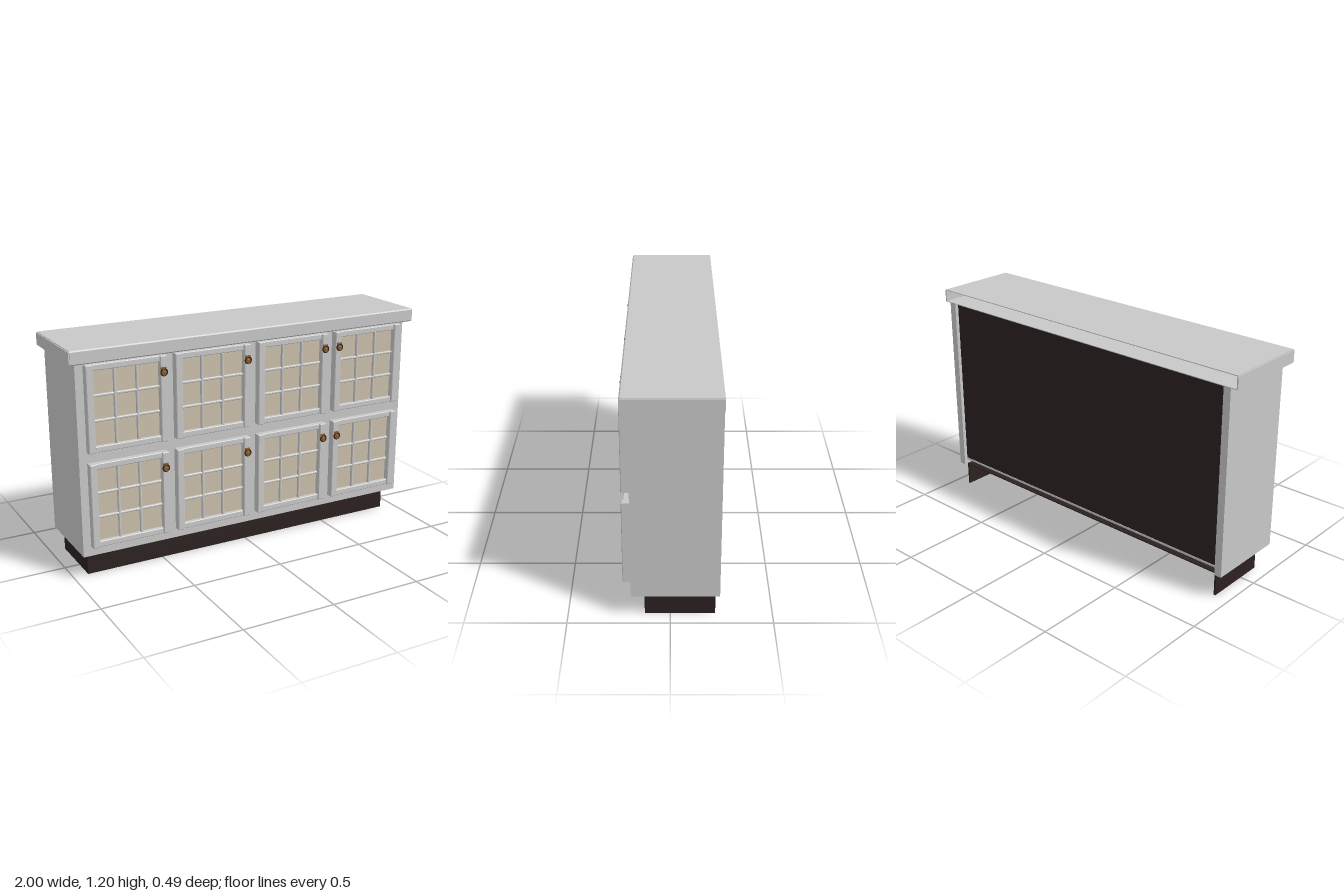
import * as THREE from 'three';

const material = (name, color, side = THREE.FrontSide) => {
  const m = new THREE.MeshStandardMaterial({ color, side });
  m.name = name;
  return m;
};

export function createModel() {
  const grey = material('painted grey', 0xc8c8c8);
  const dark = material('dark brown', 0x2c2121);
  const glass = material('cream pane', 0xcabfab);
  const bronze = material('bronze', 0x8f5f26);
  const darkBronze = material('dark bronze', 0x3a2413);

  const model = new THREE.Group();
  model.name = 'sideboard';

  const add = (parent, name, geometry, mat) => {
    const mesh = new THREE.Mesh(geometry, mat);
    mesh.name = name;
    parent.add(mesh);
    return mesh;
  };
  // Box given by its minimum and maximum corners
  const box = (parent, name, mat, x0, x1, y0, y1, z0, z1) => {
    const mesh = add(parent, name, new THREE.BoxGeometry(x1 - x0, y1 - y0, z1 - z0), mat);
    mesh.position.set((x0 + x1) / 2, (y0 + y1) / 2, (z0 + z1) / 2);
    return mesh;
  };
  const group = (parent, name) => {
    const g = new THREE.Group();
    g.name = name;
    parent.add(g);
    return g;
  };

  // Plinth: front and side boards, open at the back and below
  const plinth = group(model, 'plinth');
  box(plinth, 'plinthFront', dark, -0.92, 0.92, 0, 0.13, 0.115, 0.125);
  box(plinth, 'plinthTop', dark, -0.92, 0.92, 0.126, 0.132, -0.22, 0.12);
  for (const s of [-1, 1]) {
    box(plinth, 'plinthSide', dark, s * 0.915 - 0.005, s * 0.915 + 0.005, 0, 0.13, -0.22, 0.125);
  }

  // Carcass
  const carcass = group(model, 'carcass');
  for (const s of [-1, 1]) {
    box(carcass, 'sidePanel', grey, s * 0.942 - 0.02, s * 0.942 + 0.02, 0.13, 1.135, -0.24, 0.19);
  }
  box(carcass, 'faceFrame', grey, -0.93, 0.93, 0.13, 1.135, 0.17, 0.19);
  box(carcass, 'bottomBoard', grey, -0.925, 0.925, 0.158, 0.17, -0.222, 0.175);
  box(carcass, 'backPanel', dark, -0.925, 0.925, 0.17, 1.135, -0.22, -0.21);

  // Hollow worktop, open at the back: a C-shaped profile swept along x
  const worktop = group(model, 'worktop');
  const yb = 1.132, yt = 1.203, zf = 0.226, zb = -0.24, t = 0.004, c = 0.006;
  const profile = new THREE.Shape([
    [zb, yb], [zf - c, yb], [zf, yb + c], [zf, yt - c], [zf - c, yt], [zb, yt],
    [zb, yt - t], [zf - c, yt - t], [zf - t, yt - c], [zf - t, yb + c], [zf - c, yb + t], [zb, yb + t],
  ].map(([z, y]) => new THREE.Vector2(-z, y)));
  const shell = add(worktop, 'worktopShell',
    new THREE.ExtrudeGeometry(profile, { depth: 1.99, bevelEnabled: false }), grey);
  shell.rotation.y = Math.PI / 2;
  shell.position.x = -0.995;
  for (const s of [-1, 1]) {
    box(worktop, 'worktopEnd', grey, s * 0.9965 - 0.0035, s * 0.9965 + 0.0035,
      yb + 0.004, yt - 0.004, zb, zf - 0.004);
  }

  // Round pull with a flared rim and a small mounting plate
  const addKnob = (parent, x, y) => {
    const knob = group(parent, 'knob');
    knob.position.set(x, y, 0.23);
    const stem = add(knob, 'knobStem', new THREE.CylinderGeometry(0.007, 0.009, 0.012, 12), bronze);
    stem.rotation.x = Math.PI / 2;
    stem.position.z = 0.005;
    const disc = add(knob, 'knobDisc', new THREE.CylinderGeometry(0.013, 0.015, 0.005, 20), bronze);
    disc.rotation.x = Math.PI / 2;
    disc.position.z = 0.009;
    const rim = add(knob, 'knobRim', new THREE.TorusGeometry(0.017, 0.004, 8, 24), darkBronze);
    rim.position.z = 0.009;
    const cap = add(knob, 'knobCap', new THREE.SphereGeometry(0.007, 12, 8), bronze);
    cap.scale.z = 0.5;
    cap.position.z = 0.0115;
    box(knob, 'knobPlate', bronze, -0.014, 0.014, 0.014, 0.024, 0, 0.006);
  };

  // Frame member with chamfered front edges
  const member = (parent, name, x0, x1, y0, y1, z0, z1) => {
    const b = 0.003;
    const shape = new THREE.Shape([
      new THREE.Vector2(x0 + b, y0 + b), new THREE.Vector2(x1 - b, y0 + b),
      new THREE.Vector2(x1 - b, y1 - b), new THREE.Vector2(x0 + b, y1 - b),
    ]);
    const geometry = new THREE.ExtrudeGeometry(shape, {
      depth: z1 - z0 - 2 * b, bevelEnabled: true, bevelSize: b, bevelThickness: b, bevelSegments: 1,
    });
    geometry.translate(0, 0, z0 + b);
    add(parent, name, geometry, grey);
  };

  // Glazed door: stiles, rails, pane and a grid of glazing bars
  const addDoor = (x0, y0, knobX) => {
    const door = group(model, 'door');
    const x1 = x0 + 0.423, y1 = y0 + 0.442, w = 0.036, r = 0.03, bar = 0.006;
    member(door, 'stile', x0, x0 + w, y0, y1, 0.188, 0.231);
    member(door, 'stile', x1 - w, x1, y0, y1, 0.188, 0.231);
    member(door, 'rail', x0 + w, x1 - w, y0, y0 + r, 0.188, 0.222);
    member(door, 'rail', x0 + w, x1 - w, y1 - r, y1, 0.188, 0.222);
    box(door, 'pane', glass, x0 + w, x1 - w, y0 + r, y1 - r, 0.191, 0.199);
    for (const i of [1, 2]) {
      const bx = x0 + w + (i / 3) * (0.423 - 2 * w);
      const by = y0 + r + (i / 3) * (0.442 - 2 * r);
      member(door, 'glazingBar', bx - bar, bx + bar, y0 + r, y1 - r, 0.195, 0.214);
      member(door, 'glazingBar', x0 + w, x1 - w, by - bar, by + bar, 0.195, 0.213);
    }
    addKnob(door, knobX, y0 + 0.362);
  };
  const columns = [[-0.921, -0.52], [-0.451, -0.048], [0.022, 0.424], [0.494, 0.513]];
  for (const [x, knobX] of columns) {
    for (const y of [0.183, 0.683]) addDoor(x, y, knobX);
  }
  return model;
}
